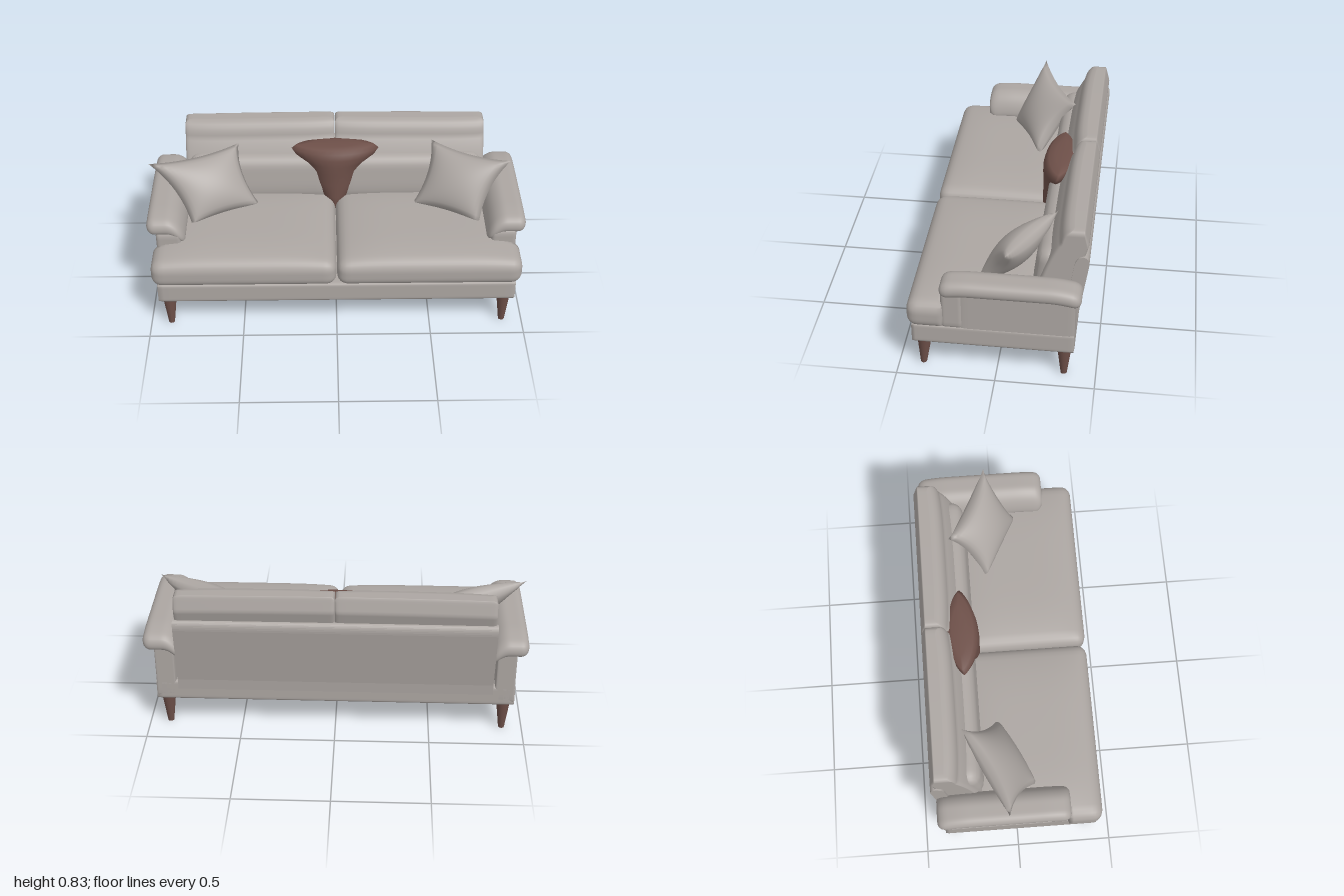
import * as THREE from 'three';
import { mergeVertices } from 'three/addons/utils/BufferGeometryUtils.js';

const fabric = new THREE.MeshStandardMaterial({ color: 0xaca6a2 });
fabric.name = 'warm grey fabric';
const brown = new THREE.MeshStandardMaterial({ color: 0x6e5049 });
brown.name = 'dark brown';

// Move every vertex by a rule, weld the seams and smooth the normals
function reshape(geometry, rule) {
  geometry.deleteAttribute('normal');
  geometry.deleteAttribute('uv');
  const pos = geometry.attributes.position;
  const v = new THREE.Vector3();
  for (let i = 0; i < pos.count; i++) {
    rule(v.fromBufferAttribute(pos, i));
    pos.setXYZ(i, v.x, v.y, v.z);
  }
  const welded = mergeVertices(geometry, 1e-5);
  welded.computeVertexNormals();
  return welded;
}

// Soft box between two corners, rounded by r, then bent by an optional warp
function softBox([x0, y0, z0], [x1, y1, z1], r, warp = () => {}, seg = [24, 12, 24]) {
  const half = new THREE.Vector3(x1 - x0, y1 - y0, z1 - z0).multiplyScalar(0.5);
  const centre = new THREE.Vector3(x0 + x1, y0 + y1, z0 + z1).multiplyScalar(0.5);
  const core = half.clone().subScalar(r);
  const inner = new THREE.Vector3();
  const geometry = new THREE.BoxGeometry(half.x * 2, half.y * 2, half.z * 2, ...seg);
  return reshape(geometry, (v) => {
    inner.copy(v).clamp(core.clone().negate(), core);
    v.sub(inner).setLength(r).add(inner).add(centre);
    warp(v);
  });
}

function mirrored(geometry) {
  const copy = geometry.clone().scale(-1, 1, 1);
  const index = copy.index.array;
  for (let i = 0; i < index.length; i += 3) {
    [index[i], index[i + 1]] = [index[i + 1], index[i]];
  }
  copy.computeVertexNormals();
  return copy;
}

// Throw pillow stretched over four corners, with pinched edges
function pillow(bl, br, tl, tr, thickness) {
  const [a, b, c, d] = [bl, br, tl, tr].map((p) => new THREE.Vector3(...p));
  const normal = b.clone().sub(a).cross(c.clone().sub(a)).normalize();
  const low = new THREE.Vector3();
  const high = new THREE.Vector3();
  return reshape(new THREE.BoxGeometry(2, 2, 2, 20, 20, 1), (v) => {
    const fu = 1 - v.x * v.x;
    const fv = 1 - v.y * v.y;
    const s = (v.x * (1 - 0.16 * fv) + 1) / 2;
    const t = (v.y * (1 - 0.13 * fu) + 1) / 2;
    const bulge = v.z * thickness * Math.sqrt(Math.max(0, fu * fv));
    low.lerpVectors(a, b, s);
    high.lerpVectors(c, d, s);
    v.lerpVectors(low, high, t).addScaledVector(normal, bulge);
  });
}

export function createModel() {
  const model = new THREE.Group();
  model.name = 'sofa';
  const add = (name, geometry, material = fabric) => {
    const mesh = new THREE.Mesh(geometry, material);
    mesh.name = name;
    model.add(mesh);
    return mesh;
  };
  const addPair = (name, geometry, material) => {
    add('left' + name, geometry, material);
    add('right' + name, mirrored(geometry), material);
  };

  // Base frame
  add('baseFrame', softBox([-0.948, 0.175, -0.39], [0.948, 0.285, 0.424], 0.008, undefined, [60, 10, 40]));

  // Arms: side panel, front post and rolled pad
  addPair('ArmPanel', softBox([0.84, 0.18, -0.39], [0.946, 0.53, 0.18], 0.01));
  addPair('ArmPost', softBox([0.82, 0.28, 0.165], [0.952, 0.51, 0.272], 0.02));
  addPair('ArmPad', softBox([0.8, 0.502, -0.42], [1, 0.588, 0.272], 0.042, (v) => {
    v.y -= 0.08 * Math.max(0, (0.9 - v.x) / 0.1) ** 2;
    v.y -= 0.025 * Math.max(0, (-0.25 - v.z) / 0.17) ** 2;
    v.y -= 0.015 * Math.max(0, (v.z - 0.12) / 0.15) ** 2;
  }, [18, 12, 36]));

  // Seat cushions, widening in front of the arms
  addPair('SeatCushion', softBox([0.002, 0.28, -0.26], [0.975, 0.427, 0.445], 0.055, (v) => {
    const u = (v.x - 0.49) / 0.49;
    const w = (v.z - 0.09) / 0.36;
    if (v.y > 0.35) v.y += 0.034 * Math.max(0, 1 - u ** 4) * Math.max(0, 1 - w ** 4);
    if (v.z < 0.265) v.x = Math.min(v.x, 0.9);
  }, [40, 12, 36]));

  // Sloping back frame
  const profile = new THREE.Shape();
  profile.moveTo(0.31, 0.2);
  profile.lineTo(0.388, 0.2);
  profile.lineTo(0.393, 0.3);
  profile.lineTo(0.442, 0.63);
  profile.quadraticCurveTo(0.447, 0.68, 0.415, 0.684);
  profile.quadraticCurveTo(0.38, 0.68, 0.37, 0.63);
  profile.closePath();
  const back = new THREE.ExtrudeGeometry(profile, { depth: 1.66, bevelEnabled: false, curveSegments: 8 });
  back.rotateY(Math.PI / 2).translate(-0.83, 0, 0);
  add('backFrame', back);

  // Back cushions, thick below and thin at the leaning top edge
  addPair('BackCushion', softBox([0.002, 0, -0.5], [0.82, 1, 0.5], 0.03, (v) => {
    const t = v.y;
    const depth = 0.065 + 0.125 * Math.sqrt(Math.max(0, 1 - t ** 3));
    const across = (v.x - 0.41) / 0.41;
    const rear = -0.35 - 0.088 * Math.min(1, t / 0.8) + 0.022 * Math.max(0, (t - 0.8) / 0.2);
    v.z = rear + (v.z + 0.5) * (depth - 0.015 * across ** 4);
    v.y = 0.42 + 0.41 * t - 0.008 * (v.x / 0.82) ** 2;
  }, [40, 30, 24]));

  // Lumbar cushions
  addPair('LumbarCushion', softBox([0.01, 0.4, -0.31], [0.8, 0.67, -0.165], 0.06, (v) => {
    v.z -= 0.12 * Math.max(0, v.y - 0.5);
  }));

  // Throw pillows
  add('rightThrowPillow', pillow([-0.77, 0.44, 0.11], [-0.41, 0.44, -0.07], [-1, 0.738, -0.05], [-0.53, 0.725, -0.265], 0.08));
  add('leftThrowPillow', pillow([0.42, 0.44, -0.07], [0.77, 0.44, 0.115], [0.53, 0.738, -0.265], [0.94, 0.738, -0.05], 0.08));

  // Folded centre pillow, rows of height, half width, centre z, half depth
  const rows = [
    [0.738, 0.14, -0.24, 0.04], [0.732, 0.215, -0.235, 0.068], [0.715, 0.238, -0.228, 0.08],
    [0.68, 0.215, -0.222, 0.084], [0.64, 0.165, -0.216, 0.08], [0.59, 0.128, -0.21, 0.073],
    [0.52, 0.11, -0.2, 0.062], [0.44, 0.07, -0.185, 0.05], [0.39, 0.025, -0.175, 0.035], [0.36, 0.006, -0.17, 0.02],
  ];
  const last = rows.length - 1;
  add('centrePillow', reshape(new THREE.CylinderGeometry(1, 1, 1, 32, last), (v) => {
    const [y, w, z, d] = rows[Math.round((0.5 - v.y) * last)];
    v.set(v.x * w, y, z + d * v.z * Math.sqrt(Math.abs(v.z)));
  }), brown);

  // Tapered legs, slightly splayed: top z, foot z
  for (const [name, topZ, footZ] of [['FrontLeg', 0.367, 0.378], ['BackLeg', -0.338, -0.338]]) {
    const leg = new THREE.CylinderGeometry(0.038, 0.016, 0.18, 20, 1);
    const pos = leg.attributes.position;
    for (let i = 0; i < pos.count; i++) {
      const t = pos.getY(i) / 0.18 + 0.5;
      pos.setXYZ(i, pos.getX(i) + 0.893, t * 0.18, pos.getZ(i) + footZ + (topZ - footZ) * t);
    }
    addPair(name, leg, brown);
  }
  return model;
}
